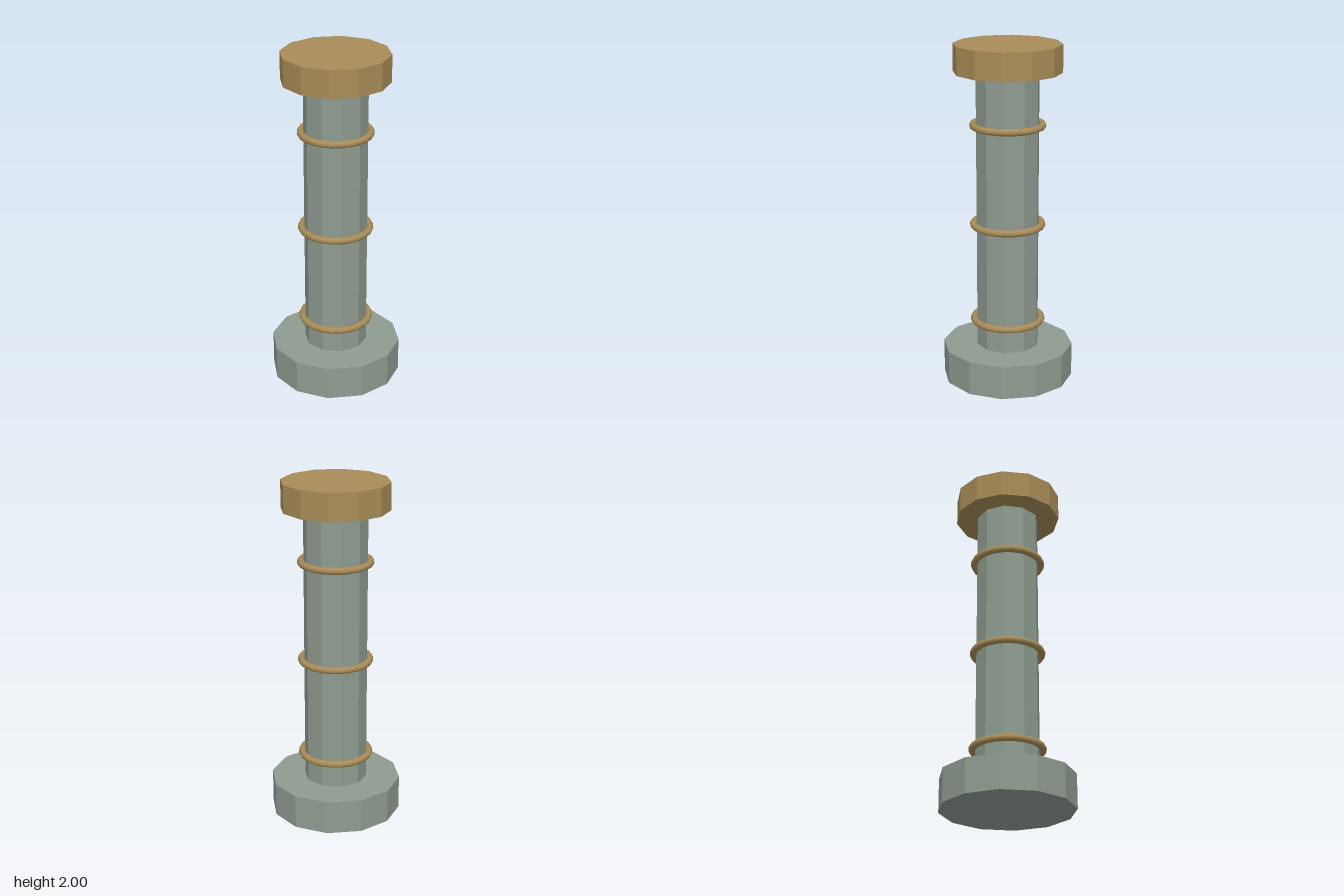
import * as THREE from 'three';

export function createModel() {
  const model = new THREE.Group();
  model.name = 'column';

  const stone = new THREE.MeshStandardMaterial({ color: 0x8f9c91 });
  stone.name = 'grey green stone';
  const bronze = new THREE.MeshStandardMaterial({ color: 0xa98d58 });
  bronze.name = 'bronze';

  // Faceted upright drum between two heights, with a corner on the +x axis
  function drum(name, radius, y0, y1, sides, material) {
    const geometry = new THREE.CylinderGeometry(radius, radius, y1 - y0, sides)
      .rotateY(Math.PI / 2).toNonIndexed();
    geometry.computeVertexNormals();
    const mesh = new THREE.Mesh(geometry, material);
    mesh.name = name;
    mesh.position.y = (y0 + y1) / 2;
    model.add(mesh);
  }

  drum('base', 0.385, 0, 0.2, 12, stone);
  drum('shaft', 0.185, 0.2, 1.84, 10, stone);
  drum('capital', 0.312, 1.84, 2, 12, bronze);

  // Three smooth bands, evenly spaced up the shaft
  const bandGeometry = new THREE.TorusGeometry(0.2, 0.021, 8, 24).rotateX(Math.PI / 2);
  ['lowerBand', 'middleBand', 'upperBand'].forEach((name, i) => {
    const band = new THREE.Mesh(bandGeometry, bronze);
    band.name = name;
    band.position.y = 0.355 + i * 0.59;
    model.add(band);
  });

  return model;
}
